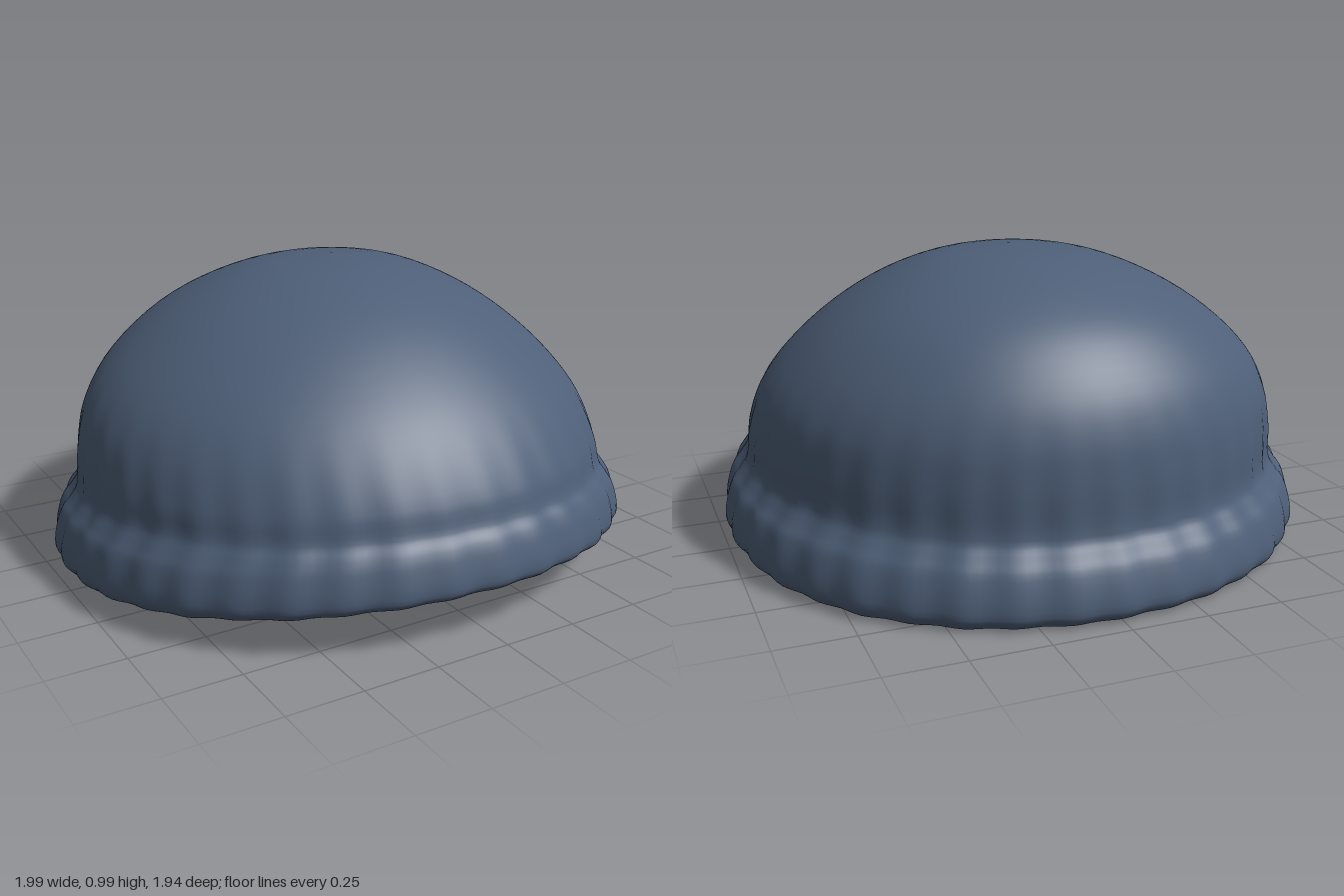
import * as THREE from 'three';

// Cross-sections from crown to lip:
// [front z, front y, back z, back y, half width, side y, centre x]
const RINGS = [
  [-0.10, 0.990, -0.10, 0.990, 0.000, 0.990, 0.04],
  [0.10, 0.970, -0.33, 0.965, 0.250, 0.962, 0.03],
  [0.30, 0.915, -0.54, 0.895, 0.460, 0.883, 0.02],
  [0.50, 0.820, -0.70, 0.800, 0.640, 0.770, 0.01],
  [0.69, 0.680, -0.815, 0.660, 0.790, 0.630, 0],
  [0.80, 0.560, -0.865, 0.530, 0.867, 0.510, 0],
  [0.88, 0.430, -0.880, 0.400, 0.902, 0.380, 0],
  [0.905, 0.350, -0.885, 0.250, 0.912, 0.285, 0],
  [0.93, 0.320, -0.910, 0.210, 0.938, 0.240, 0],
  [0.95, 0.275, -0.940, 0.165, 0.970, 0.195, 0],
  [0.965, 0.190, -0.965, 0.050, 0.993, 0.075, 0],
  [0.945, 0.165, -0.945, 0.015, 0.970, 0.037, 0],
  [0.92, 0.157, -0.925, 0.007, 0.945, 0.027, 0],
];

// Point on one cross-section at angle a (0 = front, a quarter turn = +x)
function ringPoint([zf, yf, zb, yb, w, ys, cx], a) {
  const c = Math.cos(a), s = Math.sin(a);
  const y = ys + (yf - yb) / 2 * c + ((yf + yb) / 2 - ys) * c * c;
  return new THREE.Vector3(cx + w * s, y, (zf + zb) / 2 + (zf - zb) / 2 * c);
}

// Lofts a closed-round skin through the rings
function loft(rings, rows, cols, ripple) {
  const pos = [], index = [];
  for (let i = 0; i < cols; i++) {
    const a = i / cols * Math.PI * 2;
    const curve = new THREE.CatmullRomCurve3(rings.map(r => ringPoint(r, a)));
    for (let j = 0; j <= rows; j++) {
      const p = curve.getPoint(j / rows);
      // Soft knitted ribs, strongest at the cuff and fading into the crown
      const fade = THREE.MathUtils.smoothstep(0.7 - p.y, 0, 0.5);
      const k = 1 + ripple * fade * (Math.cos(a * 38) + 0.4 * Math.sin(a * 17));
      pos.push(p.x * k, p.y, p.z * k);
      const n = ((i + 1) % cols) * (rows + 1) + j, m = i * (rows + 1) + j;
      if (j < rows) index.push(m, m + 1, n + 1, m, n + 1, n);
    }
  }
  const g = new THREE.BufferGeometry();
  g.setAttribute('position', new THREE.Float32BufferAttribute(pos, 3));
  g.setIndex(index);
  g.computeVertexNormals();
  return g;
}

export function createModel() {
  const group = new THREE.Group();
  group.name = 'knitCap';
  const wool = new THREE.MeshStandardMaterial({ color: 0x4e5f78 });
  wool.name = 'slateBlueWool';

  // Inner lining: the same rings shrunk, running from the lip back to the crown
  const lining = RINGS.slice(0, -2).reverse().map(([zf, yf, zb, yb, w, ys, cx]) =>
    [zf * 0.96, yf - 0.02, zb * 0.96, yb - 0.02, w * 0.96, ys - 0.02, cx]);

  const cap = new THREE.Mesh(loft([...RINGS, ...lining], 96, 228, 0.005), wool);
  cap.name = 'capWithRolledCuff';
  group.add(cap);
  return group;
}
